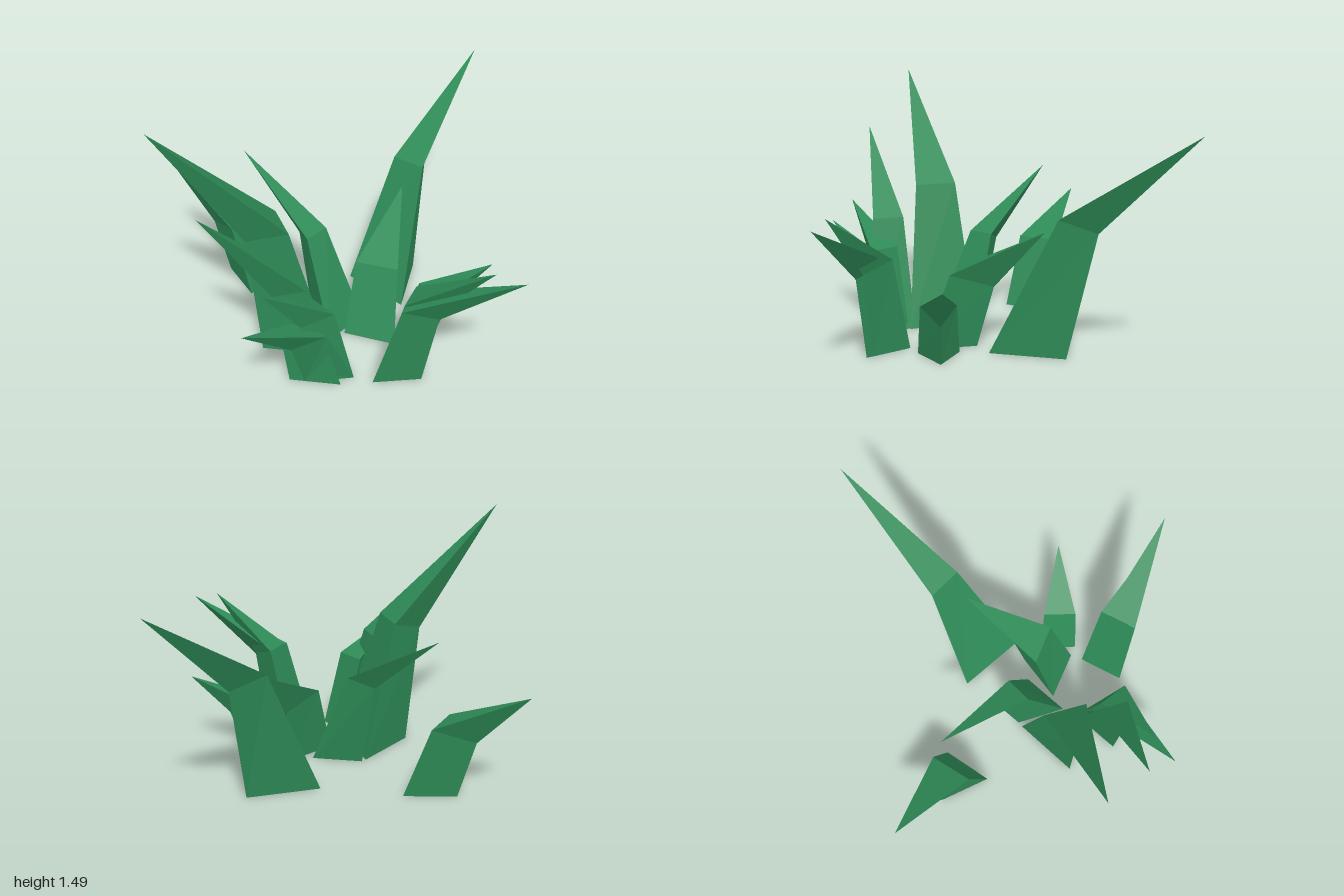
import * as THREE from 'three';

const material = new THREE.MeshStandardMaterial({ color: 0x2e8b57, flatShading: true });

// Each blade: inner edge of the base [x, z], inner edge of the bend [x, z], bend height, tip [x, y, z]
const BLADES = {
  tallLeftBlade: [[-0.18, 0.05], [-0.07, 0.45], [-0.36, 0.16], [-0.30, 0.40], 0.83, [-1.0, 1.49, 0.42]],
  tallBackBlade: [[0.12, -0.30], [0.40, 0.03], [0.41, -0.47], [0.56, -0.32], 0.775, [0.99, 1.26, -0.95]],
  backCornerBlade: [[-0.34, -0.43], [-0.52, -0.18], [-0.48, -0.49], [-0.62, -0.28], 0.43, [-0.97, 0.68, -0.68]],
  innerBackBlade: [[0.14, 0.10], [-0.07, 0.32], [-0.06, -0.03], [-0.18, 0.08], 0.57, [-0.52, 0.91, -0.41]],
  centreBlade: [[0.02, 0.26], [0.30, 0.39], [0.10, 0.14], [0.33, 0.24], 0.43, [0.43, 0.68, -0.27]],
  smallSideBlade: [[0.36, 0.19], [0.36, 0.42], [0.47, 0.21], [0.47, 0.41], 0.30, [0.87, 0.48, 0.31]],
  frontBlade: [[0.13, 0.70], [0.27, 0.46], [0.27, 0.75], [0.37, 0.57], 0.525, [0.87, 0.81, 0.94]],
  frontInnerBlade: [[0.15, 0.67], [0.27, 0.46], [0.29, 0.71], [0.38, 0.55], 0.54, [0.72, 0.84, 0.88]],
  frontTallBlade: [[-0.13, 0.42], [-0.05, 0.70], [-0.28, 0.48], [-0.23, 0.66], 0.64, [-0.77, 1.14, 0.68]],
  frontLowBlade: [[-0.11, 0.41], [0.03, 0.65], [-0.24, 0.55], [-0.13, 0.71], 0.36, [-0.58, 0.57, 0.92]],
  frontMiddleBlade: [[-0.09, 0.46], [0.03, 0.65], [-0.19, 0.52], [-0.08, 0.67], 0.48, [-0.47, 0.72, 0.79]],
};

// Equilateral section from its inner edge; the third corner points outward and may droop
function section([ax, az], [bx, bz], y, tip, droop) {
  const mx = (ax + bx) / 2, mz = (az + bz) / 2;
  let px = bz - az, pz = ax - bx;
  if (px * (tip[0] - mx) + pz * (tip[2] - mz) < 0) { px = -px; pz = -pz; }
  const drop = droop * Math.hypot(px, pz);
  return [ax, y, az, bx, y, bz, mx + px * 0.86, y - drop, mz + pz * 0.86];
}

// Three-sided blade: base triangle, bend triangle, pointed tip
function blade(a, b, c, d, bendY, tip) {
  const base = section(a, b, 0, tip, 0);
  const bend = section(c, d, bendY, tip, 0.32);
  // keep the corners anticlockwise seen from above
  const turn = (b[1] - a[1]) * (base[6] - a[0]) - (b[0] - a[0]) * (base[8] - a[1]);
  const order = turn > 0 ? [0, 1, 2] : [1, 0, 2];
  const index = [order[0], order[2], order[1]];
  for (let i = 0; i < 3; i++) {
    const p = order[i], q = order[(i + 1) % 3];
    index.push(p, q, q + 3, p, q + 3, p + 3, p + 3, q + 3, 6);
  }
  const geometry = new THREE.BufferGeometry();
  geometry.setAttribute('position', new THREE.Float32BufferAttribute([...base, ...bend, ...tip], 3));
  geometry.setIndex(index);
  const flat = geometry.toNonIndexed();
  flat.computeVertexNormals();
  return flat;
}

export function createModel() {
  const group = new THREE.Group();
  group.name = 'grassTuft';
  for (const [name, spec] of Object.entries(BLADES)) {
    const mesh = new THREE.Mesh(blade(...spec), material);
    mesh.name = name;
    group.add(mesh);
  }
  return group;
}
